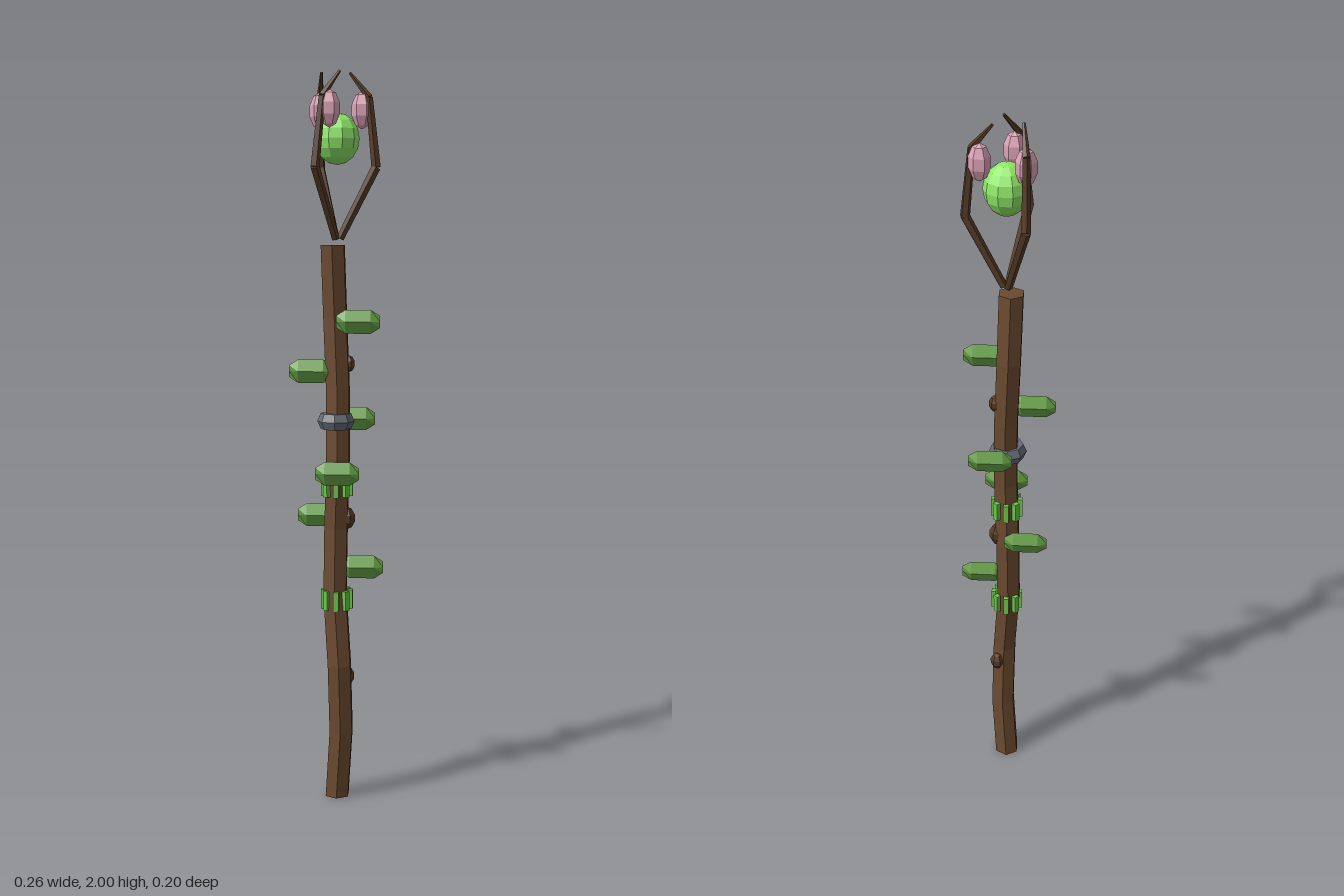
import * as THREE from 'three';

const mat = (color) => new THREE.MeshStandardMaterial({ color, flatShading: true });
const bark = mat(0x6b4a30), darkBark = mat(0x553b26), leafGreen = mat(0x659f45),
  vineGreen = mat(0x6cc64a), orbGreen = mat(0x8fe868), pink = mat(0xdda3b6), stone = mat(0x666c78);

export function createModel() {
  const root = new THREE.Group();
  const add = (name, geo, material, parent = root) => {
    const m = new THREE.Mesh(geo, material);
    m.name = name;
    parent.add(m);
    return m;
  };

  // Crooked shaft: a hexagonal cylinder whose rings follow bend points [x, z]
  const bends = [[0, -0.006], [0.012, 0.006], [0.008, 0.019], [-0.005, 0.003], [-0.003, -0.004],
    [0.003, 0.005], [0.002, -0.003], [-0.006, -0.012], [-0.012, -0.004]];
  const n = bends.length - 1, bottom = 0.005, top = 1.545;
  const shaft = new THREE.CylinderGeometry(0.036, 0.036, 1, 6, n);
  const sp = shaft.attributes.position;
  for (let i = 0; i < sp.count; i++) {
    const t = sp.getY(i) + 0.5, b = bends[Math.round(t * n)];
    sp.setXYZ(i, sp.getX(i) + b[0], bottom + t * (top - bottom), sp.getZ(i) + b[1]);
  }
  shaft.computeVertexNormals();
  add('shaft', shaft, bark);

  // Knots on the bark
  for (const [x, y, z, r] of [[0.03, 1.225, -0.013, 0.018], [0.025, 0.8, -0.004, 0.025], [0.028, 0.35, -0.012, 0.02]]) {
    const k = add('knot', new THREE.SphereGeometry(r, 6, 5), darkBark);
    k.position.set(x, y, z);
    k.scale.y = 1.3;
  }

  // Stone collar
  const collar = add('collar', new THREE.TorusGeometry(0.032, 0.019, 6, 8), stone);
  collar.rotation.x = Math.PI / 2;
  collar.scale.z = 1.3;
  collar.position.set(-0.003, 1.07, 0.003);

  // Vine bands made of short upright strips
  for (const y of [0.573, 0.89]) {
    const band = new THREE.Group();
    band.name = 'vineBand';
    band.position.y = y;
    root.add(band);
    for (let i = 0; i < 8; i++) {
      const a = (i * Math.PI) / 4;
      const s = add('vineStrip', new THREE.BoxGeometry(0.015, 0.054, 0.013), vineGreen, band);
      s.position.set(Math.sin(a) * 0.037, 0, Math.cos(a) * 0.037);
      s.rotation.y = a;
    }
  }

  // Leaf: diamond section along x, both ends pinched to a short upright edge
  const leaf = new THREE.CylinderGeometry(1, 1, 2, 4, 3, true);
  leaf.rotateZ(-Math.PI / 2);
  const lp = leaf.attributes.position;
  for (let i = 0; i < lp.count; i++) {
    const end = Math.abs(lp.getX(i)) > 0.9;
    lp.setXYZ(i, Math.sign(lp.getX(i)) * (end ? 0.059 : 0.034),
      lp.getY(i) * (end ? 0.016 : 0.032), lp.getZ(i) * (end ? 0 : 0.0145));
  }
  leaf.computeVertexNormals();
  for (const [x, y, z] of [[0.059, 1.342, 0.036], [-0.071, 1.206, 0.011], [0.042, 1.07, -0.055],
    [0.005, 0.934, 0.068], [-0.054, 0.8, -0.045], [0.068, 0.664, 0]])
    add('leaf', leaf, leafGreen).position.set(x, y, z);

  // Glowing orb
  const orb = add('orb', new THREE.SphereGeometry(0.06, 10, 8), orbGreen);
  orb.position.y = 1.825;
  orb.scale.y = 1.14;

  // Three claw branches with a bud each: points are [x, y, z, radius]
  const claw = [[0.008, 1.562, 0, 0.011], [0.104, 1.75, 0, 0.013], [0.085, 1.932, -0.01, 0.01], [0.032, 1.998, -0.03, 0.004]];
  for (let k = 0; k < 3; k++) {
    const branch = new THREE.Group();
    branch.name = 'clawBranch';
    branch.rotation.y = (k * Math.PI * 2) / 3;
    root.add(branch);
    for (let i = 0; i < 3; i++) {
      const a = new THREE.Vector3(...claw[i].slice(0, 3)), b = new THREE.Vector3(...claw[i + 1].slice(0, 3));
      const dir = b.clone().sub(a);
      const seg = add('branchSegment', new THREE.CylinderGeometry(claw[i + 1][3], claw[i][3], dir.length(), 5), darkBark, branch);
      seg.position.copy(a).add(b).multiplyScalar(0.5);
      seg.quaternion.setFromUnitVectors(new THREE.Vector3(0, 1, 0), dir.normalize());
    }
    const bud = add('bud', new THREE.SphereGeometry(0.029, 6, 5), pink, branch);
    bud.position.set(0.065, 1.9, -0.02);
    bud.scale.y = 1.7;
  }
  return root;
}
